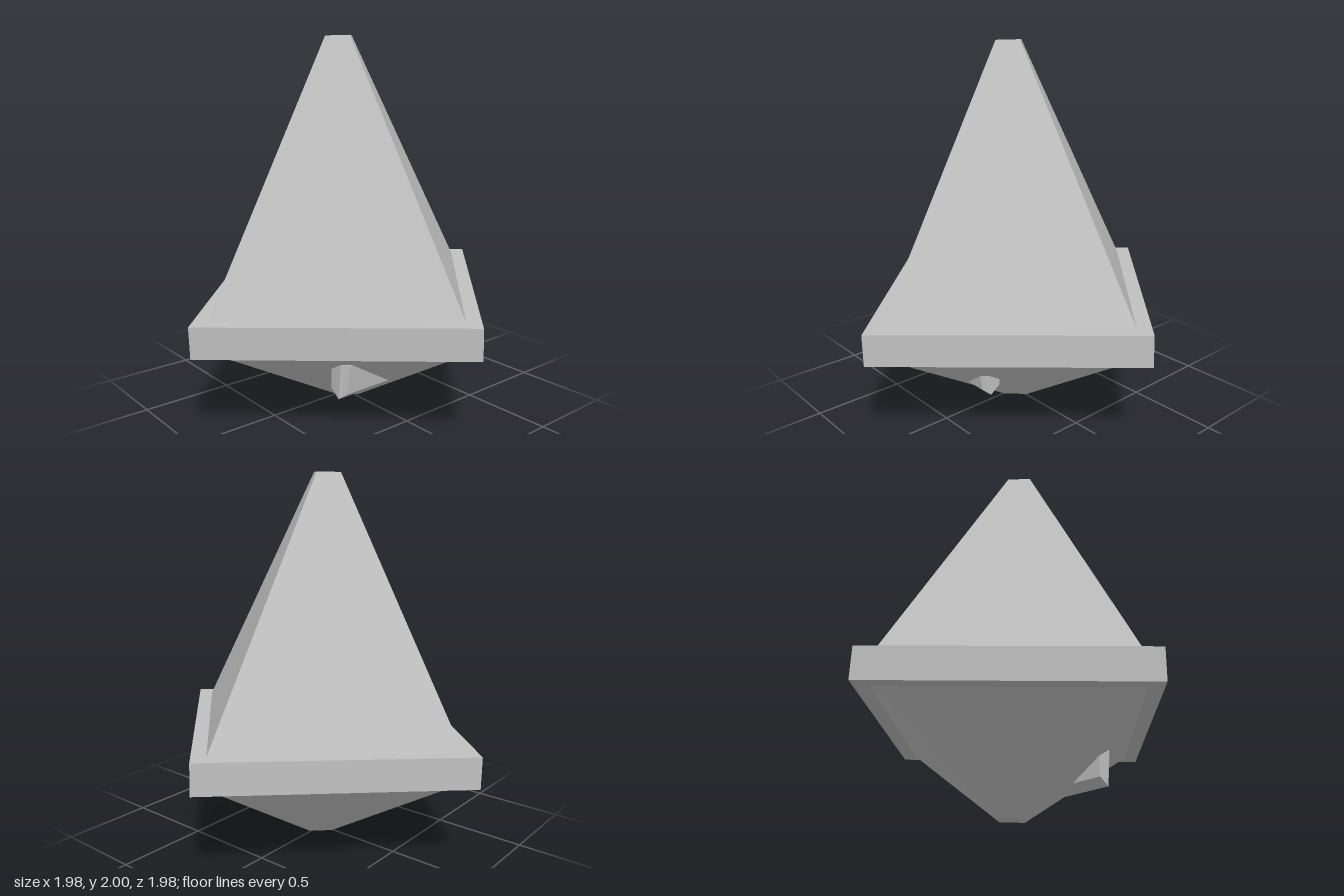
import * as THREE from 'three';
import { ConvexGeometry } from 'three/addons/geometries/ConvexGeometry.js';

const grey = new THREE.MeshStandardMaterial({ color: 0xc0c0c0 });
grey.name = 'grey';

// Four-sided frustum with its corners on the x and z axes
function frustum(name, topRadius, bottomRadius, bottomY, topY) {
  const height = topY - bottomY;
  const geometry = new THREE.CylinderGeometry(topRadius, bottomRadius, height, 4).toNonIndexed();
  geometry.computeVertexNormals();
  const mesh = new THREE.Mesh(geometry, grey);
  mesh.name = name;
  mesh.position.y = (bottomY + topY) / 2;
  return mesh;
}

export function createModel() {
  const model = new THREE.Group();
  model.name = 'spinningTop';

  // Slightly tilted body: tall spire, square rim, short lower point
  const body = new THREE.Group();
  body.name = 'body';
  body.add(
    frustum('spire', 0.09, 0.885, 0.08, 1.43),
    frustum('rim', 0.99, 0.99, -0.083, 0.083),
    frustum('lowerPoint', 0.885, 0.09, -0.563, -0.08),
  );
  body.position.set(-0.005, 0.567, 0);
  body.rotation.set(0, 0.015, 0.034);
  model.add(body);

  // Bevelled block, mostly buried, whose two corners break through the front faces
  const points = [];
  const rings = [ // left x, right x, bottom y, bottom z, top z
    [-0.304, 0.16, 0.195, 0.374, 0.398],
    [-0.334, 0.194, 0.167, 0.341, 0.36],
    [-0.334, 0.194, 0.208, 0.283, 0.283],
  ];
  for (const [left, right, bottom, zBottom, zTop] of rings) {
    for (const x of [left, right]) {
      points.push(new THREE.Vector3(x, bottom, zBottom), new THREE.Vector3(x, 0.36, zTop));
    }
  }
  const block = new THREE.Mesh(new ConvexGeometry(points), grey);
  block.name = 'frontBlock';
  model.add(block);

  return model;
}
